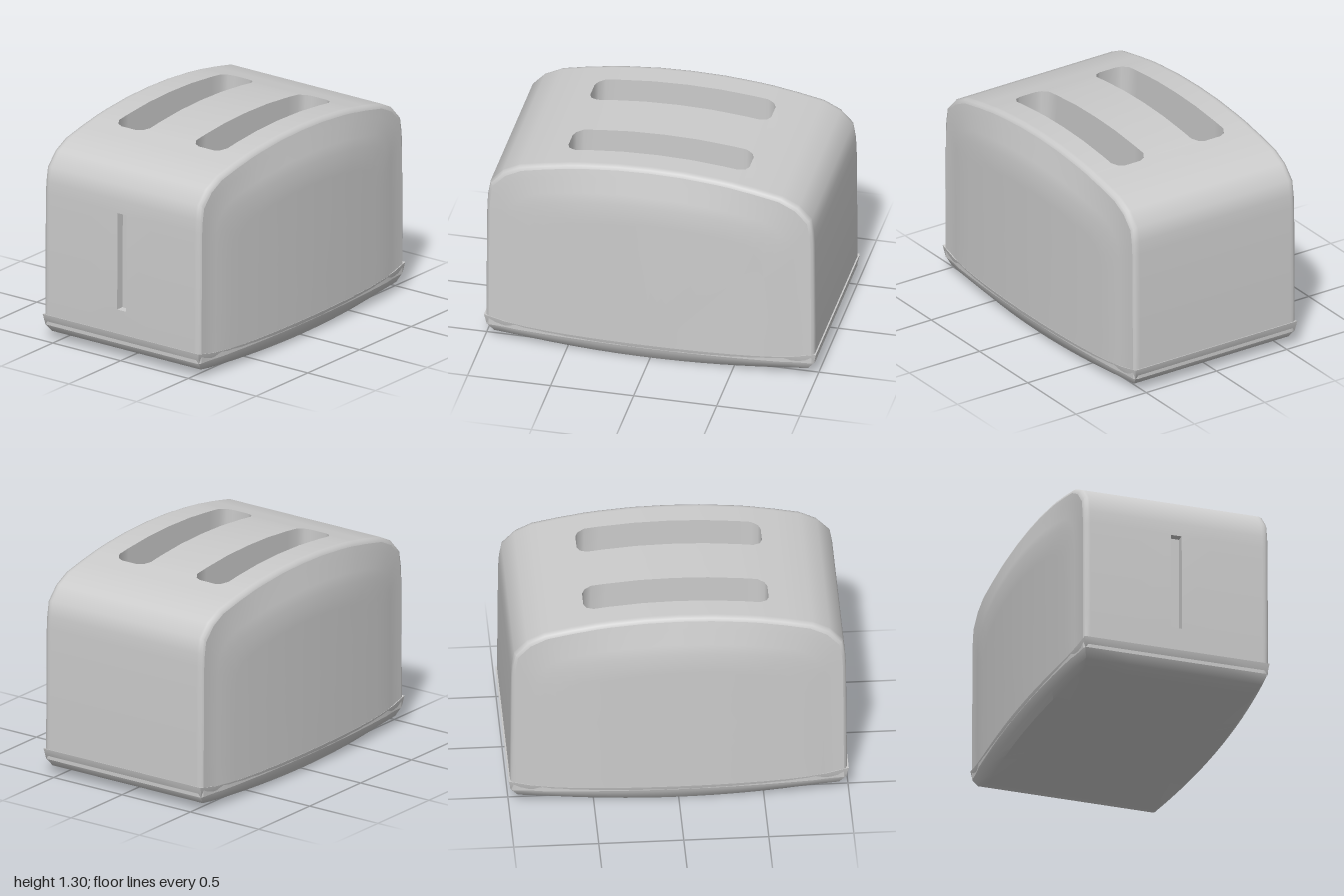
import * as THREE from 'three';
import { toCreasedNormals } from 'three/addons/utils/BufferGeometryUtils.js';

const material = new THREE.MeshStandardMaterial({ color: 0xcccccc });
const V = (x, y, z) => new THREE.Vector3(x, y, z);

// Surface through rows of points; skip(i, j) leaves a cell open.
function grid(name, rows, { skip = () => false, flip = false } = {}) {
  const pos = [];
  const tri = (a, b, c) => {
    const area = b.clone().sub(a).cross(c.clone().sub(a)).length();
    if (area < 1e-9) return;
    for (const p of flip ? [a, c, b] : [a, b, c]) pos.push(p.x, p.y, p.z);
  };
  for (let i = 0; i < rows.length - 1; i++) {
    for (let j = 0; j < rows[i].length - 1; j++) {
      if (skip(i, j)) continue;
      const a = rows[i][j], b = rows[i][j + 1], c = rows[i + 1][j + 1], d = rows[i + 1][j];
      tri(a, b, c);
      tri(a, c, d);
    }
  }
  const g = new THREE.BufferGeometry();
  g.setAttribute('position', new THREE.Float32BufferAttribute(pos, 3));
  const mesh = new THREE.Mesh(toCreasedNormals(g, 0.8), material);
  mesh.name = name;
  return mesh;
}

// Front half of the body profile as [z, y], from the bottom to the crown.
const half = [[0.99, 0.1], [0.99, 0.31], [0.985, 0.91], [0.98, 0.99], [0.965, 1.08],
  [0.89, 1.16], [0.79, 1.21], [0.63, 1.243], [0.545, 1.257], [0.53, 1.26],
  [0.49, 1.267], [0.4, 1.278], [0.2, 1.295], [0, 1.3]];
const profile = [...half, ...half.slice(0, -1).reverse().map(([z, y]) => [-z, y])];

const BASE_Y = 0.1, SLOT_X = 0.285, SLOT_END = 0.545, SLOT_FLOOR = 0.4, LEVER = 0.033;
const slotHalf = (z) => (Math.abs(z) > 0.535 ? 0.055 : Math.abs(z) > 0.5 ? 0.09 : 0.115);
const inset = ([z, y], t) => [z * t, BASE_Y + (y - BASE_Y) * t];
const at = (x, p, t = 1) => { const [z, y] = inset(p, t); return V(x, y, z); };

// Front, top and back in one wrapped sheet, with rounded side edges.
function buildShell() {
  const rows = profile.map((p) => {
    const w = slotHalf(p[0]);
    const right = [[LEVER, 1], [SLOT_X - w, 1], [SLOT_X + w, 1], [0.535, 1], [0.55, 1],
      [0.567, 0.994], [0.575, 0.98]];
    return [...right.slice().reverse().map(([x, t]) => at(-x, p, t)),
      ...right.map(([x, t]) => at(x, p, t))];
  });
  const inSlot = (i) => Math.abs(profile[i][0]) <= SLOT_END && Math.abs(profile[i + 1][0]) <= SLOT_END;
  return grid('bodyShell', rows, {
    skip: (i, j) => ((j === 4 || j === 8) && inSlot(i)) || (j === 6 && i === 1),
  });
}

// Bulging side panel made of profile rings shrinking to the bottom centre.
function buildSide(side) {
  const rings = [0.98, 0.94, 0.9, 0.86, 0.81, 0.7, 0.55, 0.4, 0.2, 0];
  const rows = rings.map((t) => profile.map((p) => {
    const z = p[0] * t;
    const x = 0.575 + 0.055 * (1 - z * z) * Math.min(1, (0.98 - t) / 0.17);
    return at(side * x, p, t);
  }));
  return grid(side > 0 ? 'leftSide' : 'rightSide', rows, { flip: side > 0 });
}

// Bread slot: walls and floor below the opening.
function buildSlot(cx) {
  const group = new THREE.Group();
  group.name = 'breadSlot';
  const pts = profile.filter(([z]) => Math.abs(z) <= SLOT_END);
  const rim = [...pts.map(([z, y]) => V(cx + slotHalf(z), y, z)),
    ...pts.slice().reverse().map(([z, y]) => V(cx - slotHalf(z), y, z))];
  rim.push(rim[0]);
  group.add(grid('slotWalls', [rim, rim.map((p) => V(p.x, SLOT_FLOOR, p.z))]));
  group.add(grid('slotFloor', pts.map(([z]) => [-1, 1].map((s) => V(cx + s * slotHalf(z), SLOT_FLOOR, z)))));
  return group;
}

// Shallow vertical lever recess in the front.
function buildLeverRecess() {
  const group = new THREE.Group();
  group.name = 'leverRecess';
  const [z0, y0] = profile[1], [z1, y1] = profile[2];
  const rim = [V(-LEVER, y0, z0), V(LEVER, y0, z0), V(LEVER, y1, z1), V(-LEVER, y1, z1), V(-LEVER, y0, z0)];
  const back = rim.map((p) => V(p.x, p.y, p.z - 0.05));
  group.add(grid('recessWalls', [rim, back]));
  group.add(grid('recessBack', [[back[0], back[1]], [back[3], back[2]]]));
  return group;
}

// Tray-like base: a rim that rises at both ends and a rounded underside.
function buildBase() {
  const plan = [];
  const steps = 16;
  for (let i = 0; i <= steps; i++) {
    const z = 1 - (2 * i) / steps;
    plan.push([0.575 + 0.06 * (1 - z * z), z]);
  }
  for (const x of [0.3, 0, -0.3]) plan.push([x, -1]);
  for (let i = steps; i >= 0; i--) plan.push([-plan[i][0], plan[i][1]]);
  for (const x of [-0.3, 0, 0.3]) plan.push([x, 1]);
  plan.push(plan[0]);
  // Each ring: width scale, length scale, height by z.
  const rings = [
    [0.95, 0.96, (z) => 0.115 + 0.04 * z ** 6],
    [1, 1, (z) => 0.125 + 0.04 * z ** 6],
    [0.985, 0.985, (z) => 0.085 + 0.015 * z ** 6],
    [0.955, 0.945, (z) => 0.045 + 0.005 * z * z],
    [0.91, 0.83, (z) => 0.008 + 0.015 * z * z],
    [0.6, 0.55, (z) => 0.004 + 0.004 * z * z],
    [0, 0, () => 0],
  ];
  return grid('base', rings.map(([sx, sz, y]) => plan.map(([x, z]) => V(x * sx, y(z), z * sz))), { flip: true });
}

export function createModel() {
  const model = new THREE.Group();
  model.name = 'toaster';
  model.add(buildShell(), buildLeverRecess(), buildBase());
  for (const s of [-1, 1]) model.add(buildSide(s), buildSlot(s * SLOT_X));
  return model;
}
